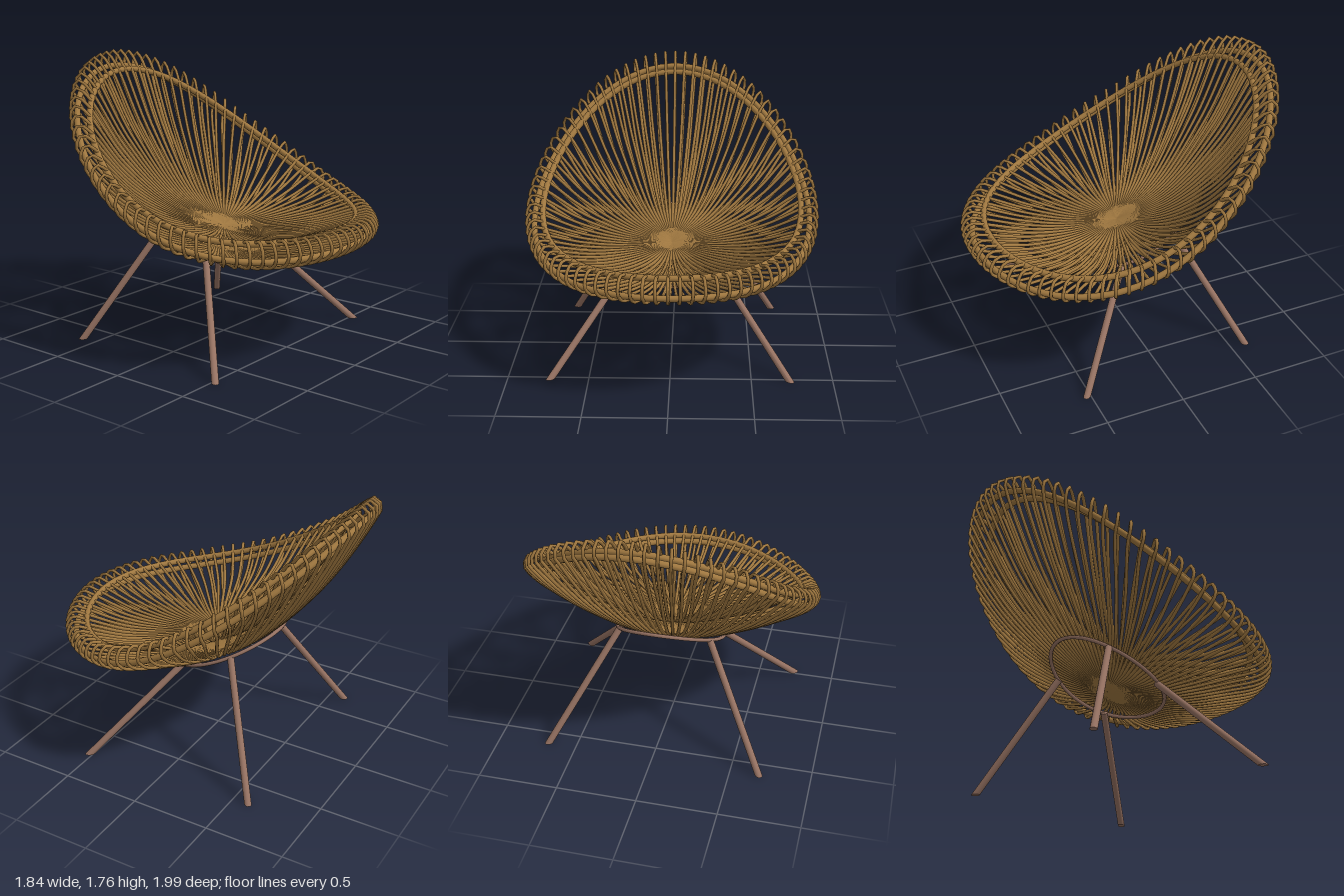
import * as THREE from 'three';

const rattan = new THREE.MeshStandardMaterial({ color: 0xa07840 });
rattan.name = 'rattan';
const metal = new THREE.MeshStandardMaterial({ color: 0x967262 });
metal.name = 'brownMetal';

// One rod's path, from lower hub around the rim and back to the upper hub.
// Each row: front z, front y, side x, side y, back z, back y.
const PROFILE = [
  [-0.07, 0.585, 0, 0.585, -0.07, 0.585],
  [0.2, 0.547, 0.2, 0.61, -0.25, 0.71],
  [0.4, 0.545, 0.4, 0.665, -0.44, 0.865],
  [0.7, 0.61, 0.66, 0.77, -0.72, 1.2],
  [0.94, 0.695, 0.86, 0.875, -0.955, 1.62],
  [0.988, 0.76, 0.912, 0.945, -0.985, 1.705],
  [0.94, 0.833, 0.88, 1.02, -0.94, 1.753],
  [0.85, 0.815, 0.81, 0.995, -0.86, 1.68],
  [0.6, 0.735, 0.6, 0.87, -0.64, 1.27],
  [0.3, 0.69, 0.3, 0.76, -0.32, 0.87],
  [0, 0.7, 0, 0.7, 0, 0.7],
];

// Blend the front, side and back positions of a row at a given angle.
function shellPoint([fz, fy, sx, sy, bz, by], angle) {
  const c = Math.cos(angle);
  return new THREE.Vector3(
    sx * Math.sin(angle),
    sy + (fy - by) / 2 * c + ((fy + by) / 2 - sy) * c * c,
    (fz + bz) / 2 + (fz - bz) / 2 * c
  );
}

function addMesh(group, name, geometry, material) {
  const mesh = new THREE.Mesh(geometry, material);
  mesh.name = name;
  group.add(mesh);
  return mesh;
}

// Closed hoop that follows the shell
function hoop(row, radius) {
  const points = [];
  for (let i = 0; i < 32; i++) points.push(shellPoint(row, i / 32 * Math.PI * 2));
  return new THREE.TubeGeometry(new THREE.CatmullRomCurve3(points, true), 120, radius, 10, true);
}

// Round leg whose foot is cut level with the ground
function legGeometry(foot, top, radius) {
  const axis = top.clone().sub(foot);
  const length = axis.length();
  axis.normalize();
  const g = new THREE.CylinderGeometry(radius, radius, length, 16);
  g.translate(0, length / 2, 0);
  g.applyQuaternion(new THREE.Quaternion().setFromUnitVectors(new THREE.Vector3(0, 1, 0), axis));
  g.translate(foot.x, foot.y, foot.z);
  const p = g.attributes.position;
  const v = new THREE.Vector3();
  for (let i = 0; i < p.count; i++) {
    v.fromBufferAttribute(p, i);
    if (v.y < 0.1) {
      v.addScaledVector(axis, -v.y / axis.y);
      p.setXYZ(i, v.x, v.y, v.z);
    }
  }
  g.computeVertexNormals();
  return g;
}

export function createModel() {
  const model = new THREE.Group();
  model.name = 'rattanChair';

  // Looped rods forming the double-walled bowl
  const rods = new THREE.Group();
  rods.name = 'seatRods';
  model.add(rods);
  const COUNT = 80;
  for (let i = 0; i < COUNT; i++) {
    const angle = i / COUNT * Math.PI * 2;
    const curve = new THREE.CatmullRomCurve3(PROFILE.map(row => shellPoint(row, angle)));
    addMesh(rods, 'rod', new THREE.TubeGeometry(curve, 60, 0.0105, 7), rattan);
  }

  // Two hoops threaded through the rim
  addMesh(model, 'outerRimHoop', hoop([0.925, 0.715, 0.865, 0.915, -0.94, 1.655], 0.02), rattan);
  addMesh(model, 'innerRimHoop', hoop([0.845, 0.805, 0.81, 0.98, -0.845, 1.635], 0.02), rattan);

  // Support ring under the bowl
  const ringY = z => 0.635 - 0.425 * (z + 0.075) + 0.3 * (z + 0.075) ** 2;
  const ringPoints = [];
  for (let i = 0; i < 24; i++) {
    const a = i / 24 * Math.PI * 2;
    const z = -0.075 + 0.36 * Math.cos(a);
    ringPoints.push(new THREE.Vector3(0.34 * Math.sin(a), ringY(z), z));
  }
  addMesh(model, 'supportRing',
    new THREE.TubeGeometry(new THREE.CatmullRomCurve3(ringPoints, true), 80, 0.012, 8, true), metal);

  // Four splayed legs
  for (const side of [1, -1]) {
    const s = side > 0 ? 'left' : 'right';
    addMesh(model, s + 'FrontLeg', legGeometry(
      new THREE.Vector3(side * 0.735, 0, 0.52), new THREE.Vector3(side * 0.29, 0.57, 0.09), 0.022), metal);
    addMesh(model, s + 'BackLeg', legGeometry(
      new THREE.Vector3(side * 0.68, 0, -0.602), new THREE.Vector3(side * 0.29, 0.715, -0.255), 0.022), metal);
  }
  return model;
}
